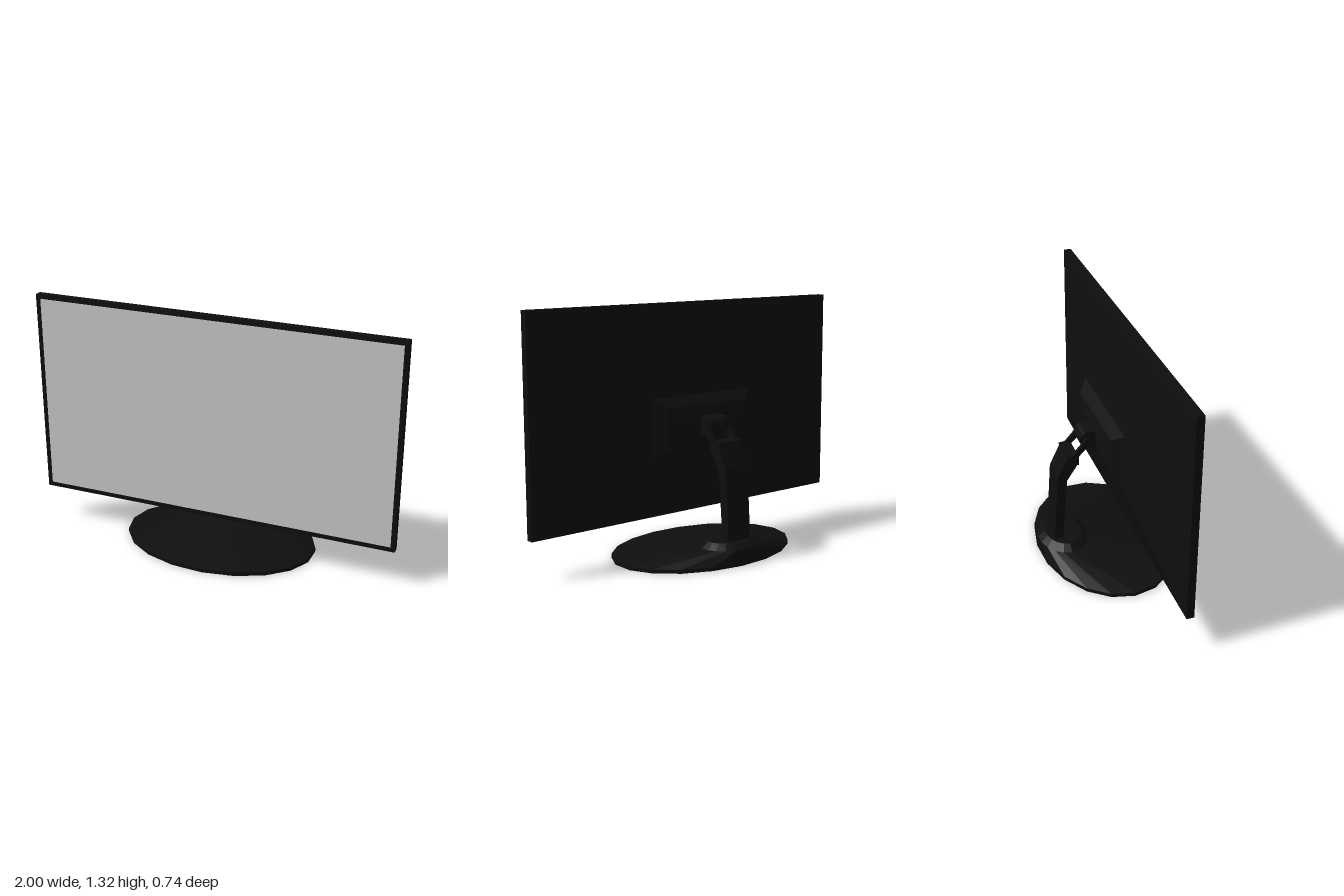
import * as THREE from 'three';

const black = new THREE.MeshStandardMaterial({ color: 0x0e0e0e, flatShading: true });
const grey = new THREE.MeshStandardMaterial({ color: 0xcccccc });

// Skin a list of equal-length rings and cap both ends
function loft(rings) {
  const n = rings[0].length;
  const index = [];
  for (let k = 0; k < rings.length - 1; k++) {
    for (let i = 0; i < n; i++) {
      const j = (i + 1) % n;
      const a = k * n + i, b = k * n + j, c = b + n, d = a + n;
      index.push(a, d, c, a, c, b);
    }
  }
  const last = (rings.length - 1) * n;
  for (let i = 1; i < n - 1; i++) index.push(0, i, i + 1, last, last + i + 1, last + i);
  const geo = new THREE.BufferGeometry();
  geo.setAttribute('position', new THREE.Float32BufferAttribute(rings.flat(2), 3));
  geo.setIndex(index);
  const flat = geo.toNonIndexed();
  flat.computeVertexNormals();
  return flat;
}

// Extrude a side profile of [z, y] points across x
function sideProfile(points, width, x = 0) {
  const shape = new THREE.Shape(points.map(([z, y]) => new THREE.Vector2(z, y)));
  const geo = new THREE.ExtrudeGeometry(shape, { depth: width, bevelEnabled: false });
  return geo.translate(0, 0, -width / 2).rotateY(-Math.PI / 2).translate(x, 0, 0);
}

const rect = (w, y0, y1, z) => [[-w, y0, z], [w, y0, z], [w, y1, z], [-w, y1, z]];

function rectPath(Type, w, y0, y1) {
  return new Type(rect(w, y0, y1, 0).map(([x, y]) => new THREE.Vector2(x, y)));
}

export function createModel() {
  const group = new THREE.Group();
  const add = (name, geometry, material = black) => {
    const mesh = new THREE.Mesh(geometry, material);
    mesh.name = name;
    group.add(mesh);
    return mesh;
  };

  // Bezel frame and display panel
  const frame = rectPath(THREE.Shape, 1, 0.2, 1.32);
  frame.holes.push(rectPath(THREE.Path, 0.977, 0.223, 1.297));
  add('bezel', new THREE.ExtrudeGeometry(frame, { depth: 0.04, bevelEnabled: false }).translate(0, 0, 0.09));
  add('screen', new THREE.PlaneGeometry(1.954, 1.074).translate(0, 0.76, 0.127), grey);

  // Tapered rear housing with a stepped centre
  add('rearHousing', loft([
    rect(1, 0.2, 1.32, 0.09),
    rect(0.33, 0.53, 0.845, 0.005),
    rect(0.26, 0.575, 0.797, -0.045),
    rect(0.2, 0.632, 0.74, -0.062),
  ]));

  // Tilt hinge: mount, barrel and two links
  add('hingeMount', sideProfile([[-0.05, 0.635], [-0.1, 0.645], [-0.1, 0.735], [-0.05, 0.74]], 0.11));
  const barrel = new THREE.CylinderGeometry(0.046, 0.046, 0.12, 16).rotateZ(Math.PI / 2);
  add('hingeBarrel', barrel.translate(0, 0.692, -0.101));
  for (const side of [-1, 1]) {
    const link = [[-0.085, 0.69], [-0.12, 0.655], [-0.175, 0.6], [-0.195, 0.62], [-0.145, 0.675], [-0.115, 0.72]];
    add('hingeLink', sideProfile(link, 0.02, side * 0.07));
  }
  add('knuckle', sideProfile([[-0.16, 0.565], [-0.215, 0.565], [-0.225, 0.62], [-0.165, 0.626], [-0.16, 0.61]], 0.16));

  // Bent neck
  add('neck', sideProfile([
    [-0.165, 0.566], [-0.225, 0.475], [-0.255, 0.1], [-0.302, 0.1], [-0.277, 0.495], [-0.22, 0.615], [-0.17, 0.615],
  ], 0.15));

  // Oval base rising to a raised foot at the back
  const oval = (rx, rz, y, z) => Array.from({ length: 19 }, (_, i) => {
    const a = Math.PI + (i / 19) * Math.PI * 2;
    return [rx * Math.cos(a), y, z + rz * Math.sin(a)];
  });
  add('base', loft([
    oval(0.534, 0.373, 0, 0),
    oval(0.534, 0.373, 0.02, 0),
    oval(0.18, 0.135, 0.083, -0.236),
    oval(0.14, 0.098, 0.113, -0.235),
  ]));

  return group;
}
